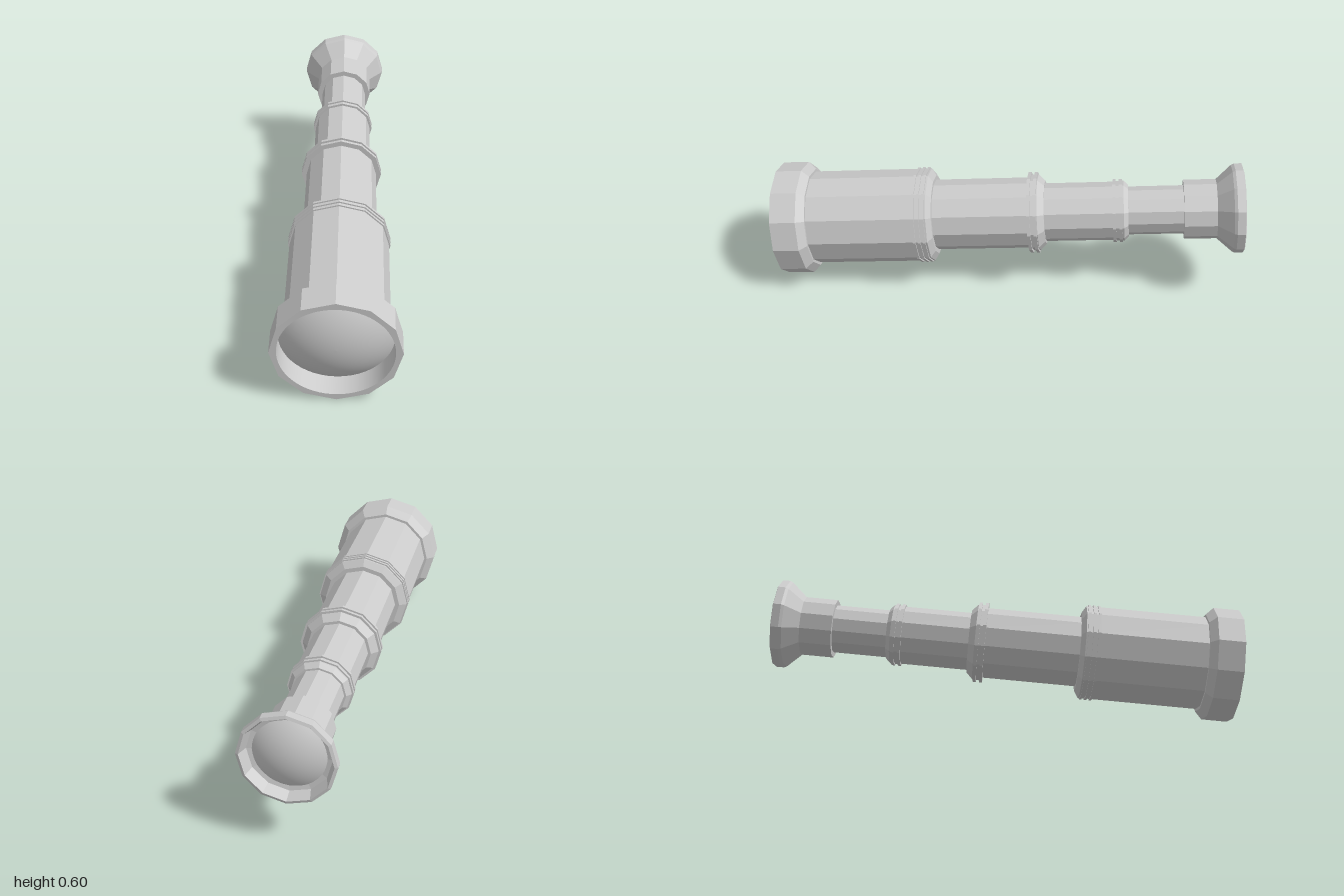
import * as THREE from 'three';

const SIDES = 12;
const FRONT = 0.983, BACK = -0.986;   // ends of the tube along its axis
const TILT = THREE.MathUtils.degToRad(4.9);

export function createModel() {
  const metal = new THREE.MeshStandardMaterial({ color: 0xcccccc });
  metal.name = 'grey';

  const model = new THREE.Group();
  model.name = 'spyglass';
  const tube = new THREE.Group();
  tube.name = 'tube';
  tube.position.y = 0.326;
  tube.rotation.x = TILT;
  model.add(tube);

  const add = (name, geometry) => {
    const mesh = new THREE.Mesh(geometry, metal);
    mesh.name = name;
    tube.add(mesh);
  };

  // Revolve [radius, z] pairs about the z axis; faceted unless smooth
  const revolve = (name, pairs, segments = SIDES, smooth = false) => {
    let g = new THREE.LatheGeometry(pairs.map(([r, z]) => new THREE.Vector2(r, z)), segments);
    g.rotateX(Math.PI / 2);
    if (!smooth) {
      g = g.toNonIndexed();
      g.computeVertexNormals();
    }
    add(name, g);
  };

  // Small raised ridges between two z values, back to front
  const ridges = (r, base, z0, z1, count) => {
    const pts = [], step = (z1 - z0) / (count * 2 - 1);
    for (let i = 0; i < count; i++) {
      const a = z0 + i * 2 * step;
      pts.push([base, a], [r, a], [r, a + step], [base, a + step]);
    }
    return pts;
  };

  // Eyepiece: inner wall, rim, flare and collar
  revolve('eyepiece', [
    [0.135, -0.935], [0.160, -0.940], [0.176, BACK], [0.188, BACK + 0.004], [0.188, -0.950],
    [0.182, -0.938], [0.125, -0.875], [0.125, -0.740], [0.098, -0.740],
  ]);

  // Four draw tubes, each ending in a ridged, chamfered collar
  revolve('smallTube', [[0.102, -0.76], [0.102, -0.48]]);
  revolve('thirdTube', [
    [0.100, -0.51], [0.110, -0.51], [0.127, -0.492],
    ...ridges(0.134, 0.127, -0.485, -0.445, 2), [0.124, -0.445], [0.124, -0.13],
  ]);
  revolve('secondTube', [
    [0.122, -0.16], [0.136, -0.16], [0.163, -0.133],
    ...ridges(0.173, 0.163, -0.130, -0.090, 2), [0.151, -0.090], [0.151, 0.34],
  ]);
  revolve('mainTube', [
    [0.149, 0.31], [0.170, 0.31], [0.200, 0.328],
    ...ridges(0.206, 0.200, 0.335, 0.388, 3), [0.200, 0.388], [0.200, 0.86],
  ]);

  // Front hood with a round opening
  revolve('frontHood', [[0.198, 0.842], [0.212, 0.842], [0.243, 0.872], [0.243, FRONT]]);
  const rim = new THREE.Shape();
  for (let i = 0; i < SIDES; i++) {
    const a = (i / SIDES) * Math.PI * 2;
    rim[i ? 'lineTo' : 'moveTo'](0.243 * Math.cos(a), 0.243 * Math.sin(a));
  }
  rim.closePath();
  rim.holes.push(new THREE.Path().absarc(0, 0, 0.215, 0, Math.PI * 2, true));
  const rimFace = new THREE.ShapeGeometry(rim, 32);
  rimFace.translate(0, 0, FRONT);
  add('frontRim', rimFace);
  revolve('frontInnerWall', [[0.215, FRONT], [0.215, 0.89]], 64, true);

  // Domed lenses: a spherical cap of given edge radius and height
  const lens = (name, radius, height, z, dir) => {
    const R = (radius * radius + height * height) / (2 * height);
    const max = Math.asin(radius / R), pts = [];
    for (let i = 0; i <= 14; i++) {
      const t = max * (1 - i / 14);
      pts.push([Math.max(0, R * Math.sin(t)), z + dir * (height - R + R * Math.cos(t))]);
    }
    if (dir < 0) pts.reverse();
    revolve(name, pts, 48, true);
  };
  lens('frontLens', 0.215, 0.075, 0.895, 1);
  lens('eyeLens', 0.143, 0.042, -0.934, -1);

  return model;
}
